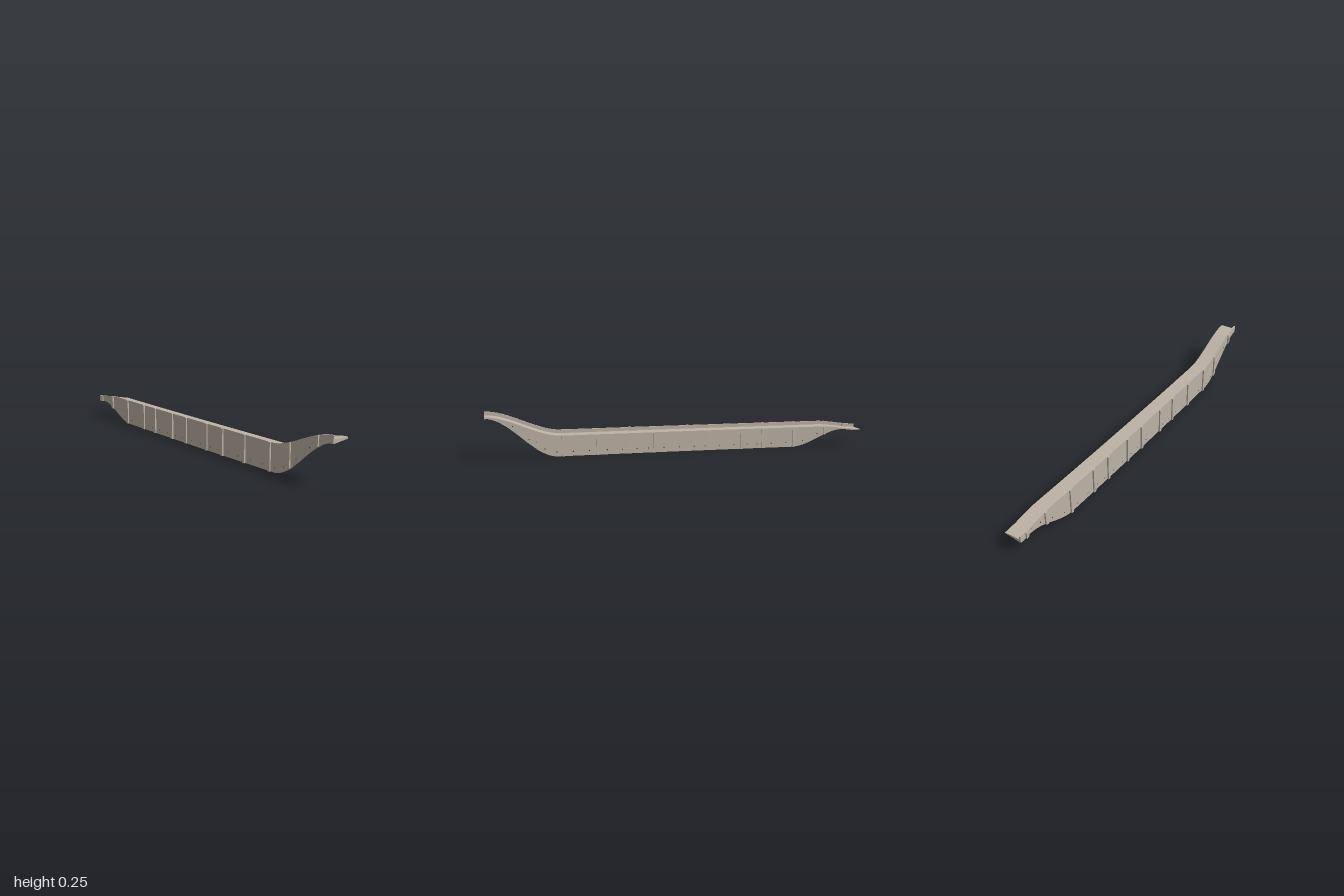
import * as THREE from 'three';

const { smoothstep, lerp } = THREE.MathUtils;

// The beam bows gently sideways and sweeps up or down at its ends.
const centreX = z => -0.046 - 0.0235 * z + 0.0095 * z * z;
const deckY = z => 0.122 + 0.105 * smoothstep(z, 0.62, 1) - 0.021 * smoothstep(-z, 0.78, 1);
const topY = z => deckY(z) + 0.018;
const bottomY = z => 0.208 * smoothstep(z, 0.64, 1)
  + 0.09 * smoothstep(-z, 0.64, 0.93) - 0.007 * smoothstep(-z, 0.93, 1);

const WALL = 0.008;
const DECK = 0.004;
const DECK_WIDTH = 0.081;
const RIBS = [-0.96, -0.83, -0.65, -0.47, -0.35, -0.18, -0.05, 0.13, 0.26, 0.43, 0.61, 0.74, 0.91];

// Moves every vertex of a geometry by a rule.
function warp(geometry, rule) {
  const p = geometry.attributes.position;
  const v = new THREE.Vector3();
  for (let i = 0; i < p.count; i++) {
    rule(v.fromBufferAttribute(p, i));
    p.setXYZ(i, v.x, v.y, v.z);
  }
  geometry.computeVertexNormals();
  return geometry;
}

// One bay of the wall between z0 and z1, with a pair of bolt holes near its foot.
function wallBay(z0, z1) {
  const steps = Math.max(3, Math.ceil((z1 - z0) / 0.02));
  const shape = new THREE.Shape();
  const at = i => lerp(z0, z1, i / steps);
  shape.moveTo(-z0, bottomY(z0));
  for (let i = 1; i <= steps; i++) shape.lineTo(-at(i), bottomY(at(i)));
  for (let i = steps; i >= 0; i--) shape.lineTo(-at(i), topY(at(i)));
  shape.closePath();
  if (z1 - z0 > 0.1) {
    for (const t of [0.25, 0.72]) {
      const z = lerp(z0, z1, t);
      const hole = new THREE.Path();
      hole.absarc(-z, bottomY(z) + 0.024, 0.003, 0, Math.PI * 2, true);
      shape.holes.push(hole);
    }
  }
  const g = new THREE.ExtrudeGeometry(shape, { depth: WALL, bevelEnabled: false, curveSegments: 4 });
  g.rotateY(Math.PI / 2);
  return warp(g, v => { v.x += centreX(v.z) - WALL / 2; });
}

// Upright rib whose ends follow the given lower and upper edge.
function ribGeometry(z, width, depth, side, upper) {
  const g = new THREE.BoxGeometry(depth, 1, width);
  const offset = side * (WALL + depth) / 2;
  return warp(g, v => {
    v.z += z;
    v.x += centreX(z) + offset;
    v.y = v.y < 0 ? bottomY(v.z) : upper(v.z);
  });
}

// Tapered plate closing the underside of the deck at one end.
function endPlate(z, thickness, rootDrop, tipDrop) {
  const y = deckY(z);
  const x = centreX(z) + WALL / 2;
  const shape = new THREE.Shape();
  shape.moveTo(x, y - rootDrop);
  shape.lineTo(x + DECK_WIDTH, y - tipDrop);
  shape.lineTo(x + DECK_WIDTH, y);
  shape.lineTo(x, y);
  shape.closePath();
  const g = new THREE.ExtrudeGeometry(shape, { depth: thickness, bevelEnabled: false });
  g.translate(0, 0, z > 0 ? z - thickness : z);
  return g;
}

export function createModel() {
  const model = new THREE.Group();
  model.name = 'curvedBeam';

  const concrete = new THREE.MeshStandardMaterial({ color: 0xbdb2a5 });
  concrete.name = 'warmGrey';

  const add = (name, geometry, parent = model) => {
    const mesh = new THREE.Mesh(geometry, concrete);
    mesh.name = name;
    parent.add(mesh);
  };

  // Wall, in bays from rib to rib
  const wall = new THREE.Group();
  wall.name = 'wall';
  model.add(wall);
  const cuts = [-1, ...RIBS, 1];
  for (let i = 0; i < cuts.length - 1; i++) add('wallBay', wallBay(cuts[i], cuts[i + 1]), wall);

  // Deck running along the wall's left side
  const deck = new THREE.BoxGeometry(DECK_WIDTH, DECK, 2, 1, 1, 100);
  add('deck', warp(deck, v => {
    v.x += centreX(v.z) + (WALL + DECK_WIDTH) / 2;
    v.y += deckY(v.z) - DECK / 2;
  }));

  // Ribs: full height outside, up to the deck inside
  const ribs = new THREE.Group();
  ribs.name = 'ribs';
  model.add(ribs);
  for (const z of RIBS) {
    add('outerRib', ribGeometry(z, 0.016, 0.008, -1, topY), ribs);
    add('innerRib', ribGeometry(z, 0.014, 0.006, 1, t => deckY(t) - DECK), ribs);
  }

  // End plates under the deck
  add('frontEndPlate', endPlate(1, 0.006, 0.019, 0.009));
  add('backEndPlate', endPlate(-1, 0.006, 0.018, 0.004));

  return model;
}
